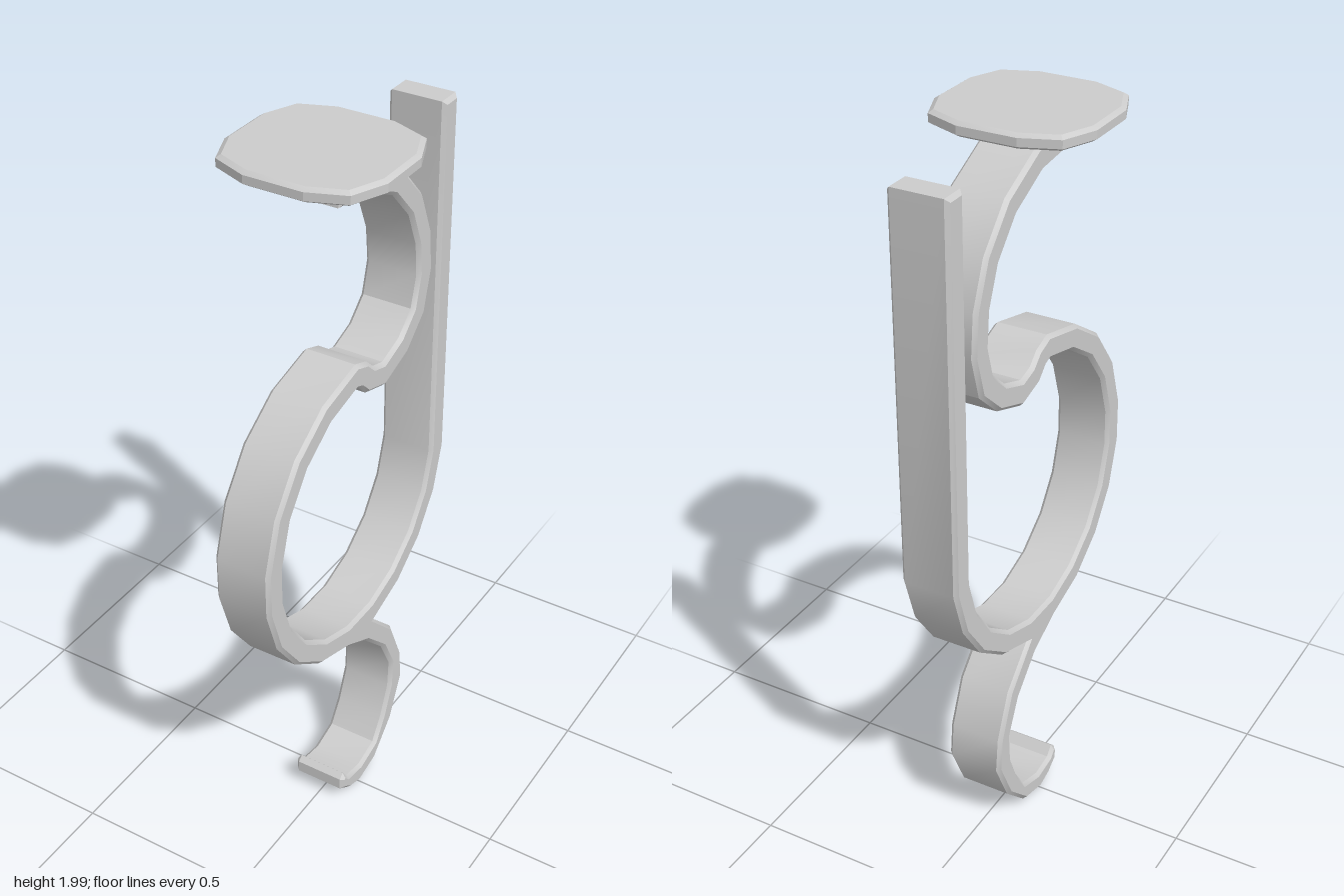
import * as THREE from 'three';
import { toCreasedNormals } from 'three/addons/utils/BufferGeometryUtils.js';

const BEVEL = 0.01;

// Shift a centre line sideways by d (positive = right of travel), with mitred corners
function offsetLine(points, d) {
  return points.map((p, i) => {
    const a = points[Math.max(i - 1, 0)];
    const b = points[Math.min(i + 1, points.length - 1)];
    const dirIn = p.clone().sub(a).normalize();
    const dirOut = b.clone().sub(p).normalize();
    const t = dirIn.clone().add(dirOut).normalize();
    const cos = Math.max(t.dot(i ? dirIn : dirOut), 0.5);
    return new THREE.Vector2(p.x + (t.y * d) / cos, p.y - (t.x * d) / cos);
  });
}

// Chamfered slab of the given total depth, centred on its own z
function slab(points, depth, bevelSize, bevelThickness, crease) {
  const geometry = new THREE.ExtrudeGeometry(new THREE.Shape(points), {
    depth: depth - 2 * bevelThickness,
    bevelEnabled: true,
    bevelSegments: 1,
    bevelSize,
    bevelThickness,
    bevelOffset: -bevelSize,
  });
  geometry.translate(0, 0, -depth / 2 + bevelThickness);
  return toCreasedNormals(geometry, crease);
}

const vec = (list) => list.map(([z, y]) => new THREE.Vector2(z, y));

function bracket() {
  // Centre line in (z, y): straight back strap, round ring, upper hook
  const ring = (deg) => {
    const a = THREE.MathUtils.degToRad(deg);
    return [0.402 * Math.cos(a), 1 + 0.402 * Math.sin(a)];
  };
  const path = [[-0.398, 1.955]];
  for (let i = 0; i <= 9; i++) path.push(ring(-172 + (i * 164) / 9));
  for (let i = 0; i <= 4; i++) path.push(ring(8 + i * 19.5));
  path.push(
    [-0.008, 1.388], [-0.04, 1.357], [-0.105, 1.338], [-0.2, 1.372], [-0.27, 1.436],
    [-0.298, 1.535], [-0.289, 1.635], [-0.245, 1.742], [-0.157, 1.837],
    [-0.025, 1.902], [0.1, 1.915],
  );
  const line = vec(path);
  const outer = offsetLine(line, 0.033);
  const inner = offsetLine(line, -0.033);

  // Lower hook outline, branching from the bottom of the ring
  const hook = vec([
    [-0.172, 0.468], [-0.225, 0.342], [-0.235, 0.246], [-0.177, 0.12], [-0.087, 0.03],
    [0, 0.008], [0.05, 0.024], [0.093, 0.055], [0.093, 0.09], [0.077, 0.103],
    [0.055, 0.077], [-0.01, 0.066], [-0.087, 0.09], [-0.13, 0.156], [-0.167, 0.246],
    [-0.172, 0.33], [-0.125, 0.426], [-0.035, 0.516],
  ]);
  const outline = [...outer.slice(0, 6), ...hook, ...outer.slice(6), ...inner.reverse()];
  return slab(outline, 0.156, BEVEL, BEVEL, 0.55).rotateY(-Math.PI / 2);
}

function plate() {
  // Twelve-sided outline, one corner mirrored into four
  const corner = [[0.21, 0.072], [0.172, 0.163], [0.077, 0.2]];
  const flip = [...corner].reverse();
  const outline = vec([
    ...corner,
    ...flip.map(([x, z]) => [-x, z]),
    ...corner.map(([x, z]) => [-x, -z]),
    ...flip.map(([x, z]) => [x, -z]),
  ]);
  return slab(outline, 0.037, 0.012, 0.008, 0.3).rotateX(-Math.PI / 2);
}

export function createModel() {
  const group = new THREE.Group();
  group.name = 'hookBracket';
  const material = new THREE.MeshStandardMaterial({ color: 0xcccccc });

  const strap = new THREE.Mesh(bracket(), material);
  strap.name = 'scrollBracket';

  const top = new THREE.Mesh(plate(), material);
  top.name = 'topPlate';
  top.position.set(0, 1.9815, 0.06);

  group.add(strap, top);
  return group;
}
